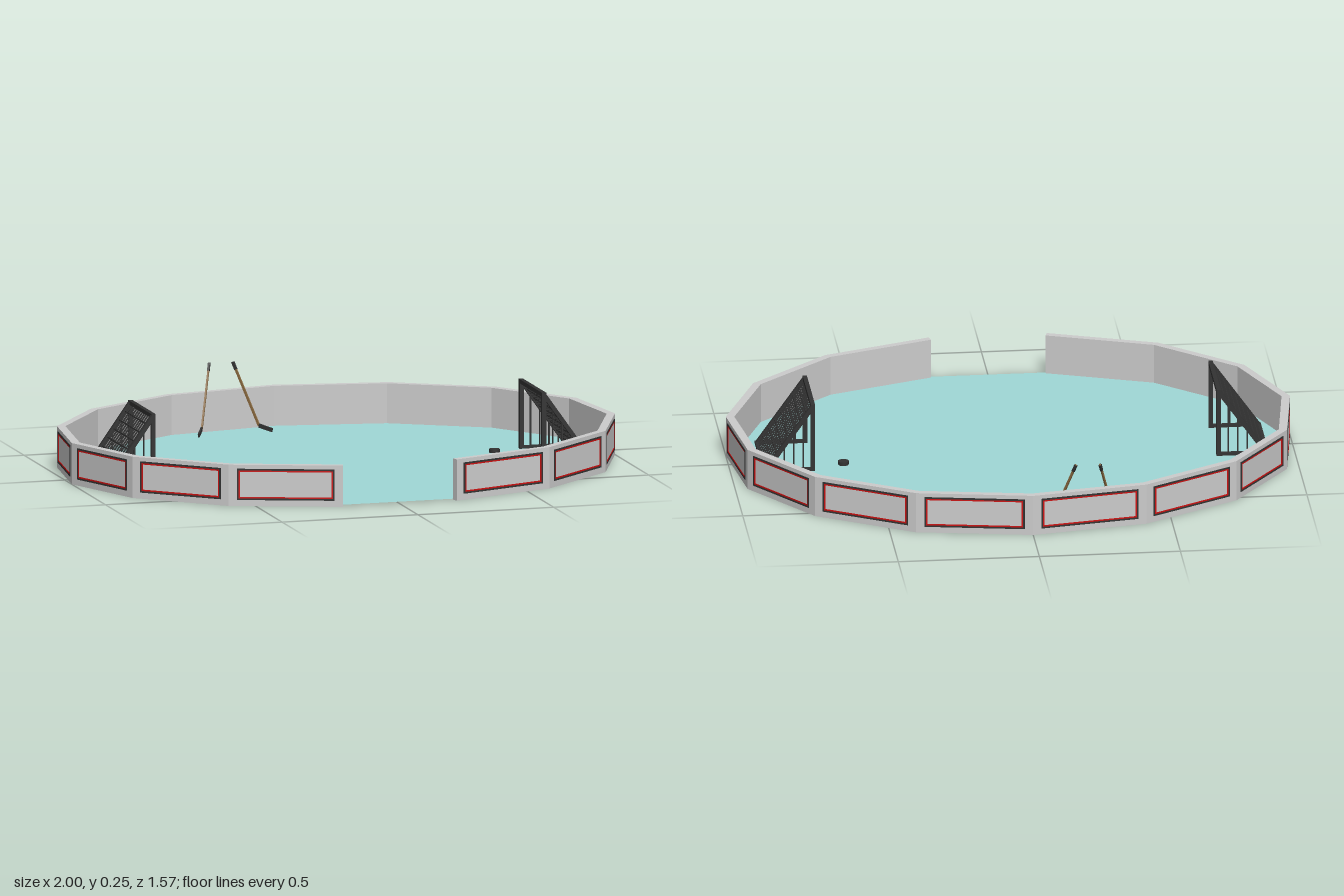
import * as THREE from 'three';

const material = (color, side = THREE.FrontSide) => new THREE.MeshStandardMaterial({ color, side });
const V = (x, y, z) => new THREE.Vector3(x, y, z);

const grey = material(0xcccccc);
const dark = material(0x333333);
const red = material(0xcc1111);
const wood = material(0x8a6a40);
const ice = material(0xa0d8d6, THREE.DoubleSide);

const WALL_H = 0.148;
const FLOOR_Y = 0.005;

// Corner k of the 15-sided rink; corners 7 and 8 flank the entrance
function corner(k, s = 1) {
  const a = k * Math.PI * 2 / 15;
  return new THREE.Vector2(Math.sin(a) * 1.0055 * s, 0.004 - Math.cos(a) * 0.794 * s);
}

function mesh(name, geometry, mat) {
  const m = new THREE.Mesh(geometry, mat);
  m.name = name;
  return m;
}

// Square bar running between two points
function bar(name, a, b, w, mat, h = w) {
  const m = mesh(name, new THREE.BoxGeometry(w, h, a.distanceTo(b)), mat);
  m.position.copy(a).add(b).multiplyScalar(0.5);
  m.lookAt(b);
  return m;
}

// Polygon in plan (x, z) turned into a shape that lies flat after rotateX(-90)
const planShape = pts => new THREE.Shape(pts.map(p => new THREE.Vector2(p.x, -p.y)));

// Rectangular ring standing in the XY plane
function ring(w, h, t, depth) {
  const rect = (P, x, y) => {
    const p = new P();
    p.moveTo(-x, -y).lineTo(x, -y).lineTo(x, y).lineTo(-x, y).closePath();
    return p;
  };
  const shape = rect(THREE.Shape, w / 2, h / 2);
  shape.holes.push(rect(THREE.Path, w / 2 - t, h / 2 - t));
  return new THREE.ExtrudeGeometry(shape, { depth, bevelEnabled: false });
}

function rink() {
  const g = new THREE.Group();
  g.name = 'rink';
  const outer = [], inner = [];
  for (let k = -7; k <= 7; k++) {
    outer.push(corner(k));
    inner.push(corner(k, 0.97));
  }

  // Floor sheet
  const floor = new THREE.ShapeGeometry(planShape(inner.map((p, i) =>
    i === 0 || i === 14 ? new THREE.Vector2(p.x, 0.765) : p)));
  floor.rotateX(-Math.PI / 2).translate(0, FLOOR_Y, 0);
  g.add(mesh('iceFloor', floor, ice));

  // Surrounding wall, open at the entrance
  const wall = new THREE.ExtrudeGeometry(planShape([...outer, ...inner.slice().reverse()]),
    { depth: WALL_H, bevelEnabled: false });
  wall.rotateX(-Math.PI / 2);
  g.add(mesh('boardWall', wall, grey));

  // Framed panel on the outside of each board
  for (let i = 0; i < 14; i++) {
    const a = outer[i], b = outer[i + 1];
    const len = a.distanceTo(b);
    const panel = new THREE.Group();
    panel.name = 'boardPanel';
    panel.position.set((a.x + b.x) / 2, 0.078, (a.y + b.y) / 2);
    panel.rotation.y = Math.atan2(-(b.y - a.y), b.x - a.x) + Math.PI;
    const w = len - 0.06, h = 0.112;
    panel.add(mesh('panelFrame', ring(w, h, 0.006, 0.002), dark));
    panel.add(mesh('panelTrim', ring(w - 0.012, h - 0.012, 0.005, 0.0015), red));
    g.add(panel);
  }
  return g;
}

// Goal with its mouth at x = 0, sloping back towards +x
function goal() {
  const g = new THREE.Group();
  g.name = 'goal';
  const D = 0.17, H = 0.247, Z = 0.137, T = 0.015, N = 0.005;
  const y0 = 0.0075;
  for (const z of [-Z, Z]) {
    g.add(bar('goalPost', V(0, 0, z), V(0, H + T / 2, z), T, dark));
    g.add(bar('sideBaseBar', V(0, y0, z), V(D, y0, z), T, dark));
    g.add(bar('slopedBar', V(0, H, z), V(D, y0, z), T, dark));
    // Side net
    for (let i = 1; i < 5; i++) {
      const x = D * i / 5;
      g.add(bar('sideNetCord', V(x, y0, z), V(x, H + (y0 - H) * i / 5, z), N, dark));
    }
  }
  g.add(bar('crossbar', V(0, H, -Z - T / 2), V(0, H, Z + T / 2), T, dark));
  g.add(bar('backBaseBar', V(D, y0, -Z - T / 2), V(D, y0, Z + T / 2), T, dark));
  // Back net
  for (let i = 1; i < 12; i++) {
    const z = -Z + 2 * Z * i / 12;
    g.add(bar('netCord', V(0, H, z), V(D, y0, z), N, dark));
  }
  for (let i = 1; i < 8; i++) {
    const x = D * i / 8, y = H + (y0 - H) * i / 8;
    g.add(bar('netCrossCord', V(x, y, -Z), V(x, y, Z), N, dark));
  }
  return g;
}

// Stick leaning on the back boards
function stick(top, heel, toe) {
  const g = new THREE.Group();
  g.name = 'hockeyStick';
  g.add(bar('shaft', top, heel, 0.006, wood, 0.008));
  g.add(bar('grip', top, top.clone().lerp(heel, 0.12), 0.008, dark, 0.01));
  g.add(bar('blade', heel, toe, 0.006, dark, 0.014));
  return g;
}

export function createModel() {
  const model = new THREE.Group();
  model.name = 'hockeyRink';
  model.add(rink());

  const leftGoal = goal();
  leftGoal.position.set(0.71, 0, 0.04);
  const rightGoal = goal();
  rightGoal.position.set(-0.728, 0, 0.04);
  rightGoal.rotation.y = Math.PI;
  model.add(leftGoal, rightGoal);

  model.add(stick(V(-0.24, 0.245, -0.76), V(-0.296, 0.028, -0.665), V(-0.32, 0.012, -0.623)));
  model.add(stick(V(-0.155, 0.245, -0.755), V(-0.08, 0.025, -0.683), V(-0.042, 0.013, -0.645)));

  const puck = mesh('puck', new THREE.CylinderGeometry(0.019, 0.019, 0.016, 16), dark);
  puck.position.set(0.597, 0.01, -0.05);
  model.add(puck);
  return model;
}
